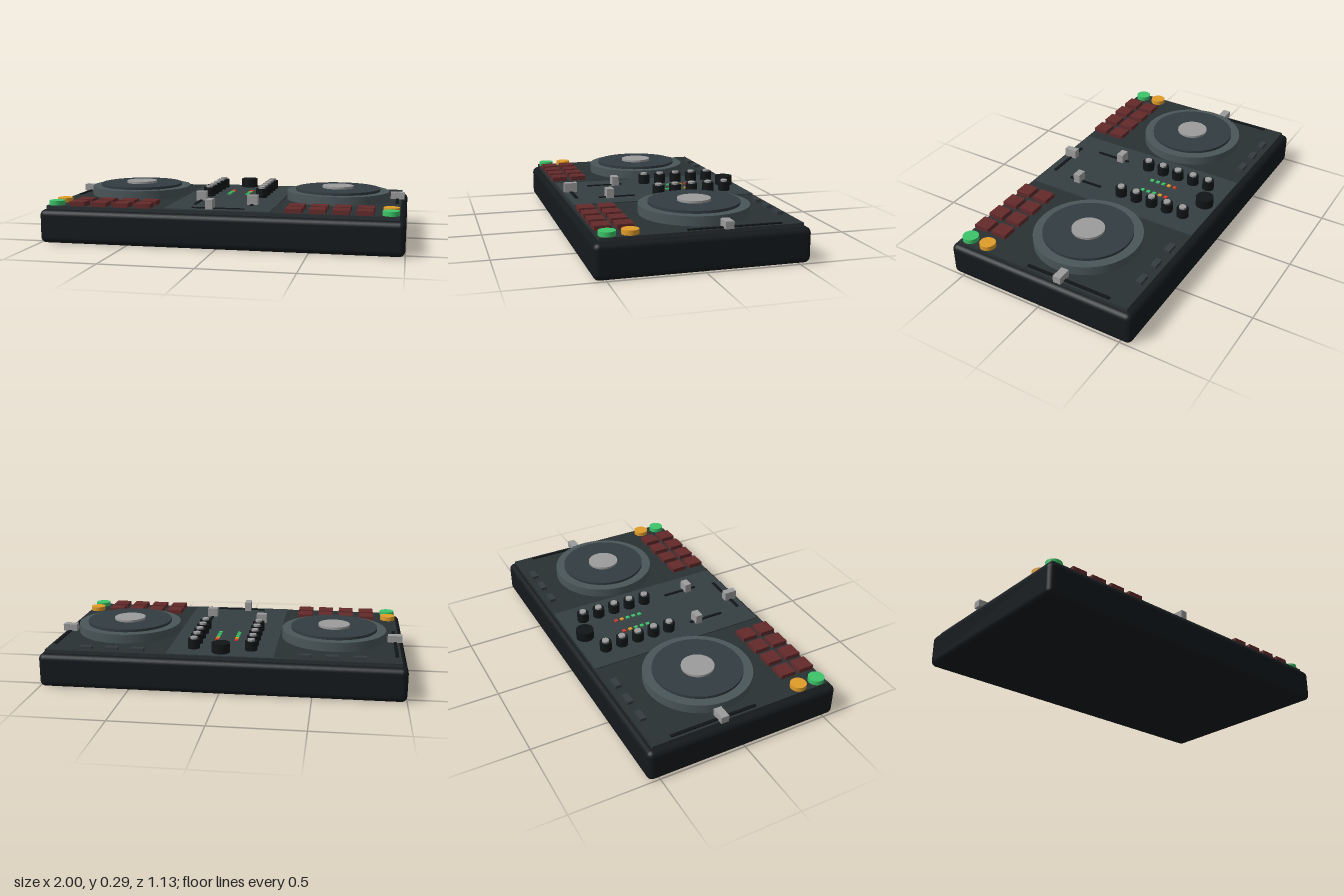
import * as THREE from 'three';
import { RoundedBoxGeometry } from 'three/addons/geometries/RoundedBoxGeometry.js';

const mat = (color) => new THREE.MeshStandardMaterial({ color });
const M = {
  body: mat(0x14191c), plate: mat(0x2a3133), mixer: mat(0x353f43), ring: mat(0x4a5659),
  platter: mat(0x323c40), black: mat(0x111517), grey: mat(0x9c9c9c), pad: mat(0x642a2b),
  green: mat(0x3cc468), orange: mat(0xe09c2a), red: mat(0xd83a28), button: mat(0x343c40),
};

export function createModel() {
  const model = new THREE.Group();
  model.name = 'djController';

  const add = (name, geometry, material, x, y, z) => {
    const mesh = new THREE.Mesh(geometry, material);
    mesh.name = name;
    mesh.position.set(x, y, z);
    model.add(mesh);
  };
  // Boxes and discs are given by their bottom and top heights
  const box = (name, m, w, d, x, z, y0, y1) =>
    add(name, new THREE.BoxGeometry(w, y1 - y0, d), m, x, (y0 + y1) / 2, z);
  const disc = (name, m, r, x, z, y0, y1, segments = 32) =>
    add(name, new THREE.CylinderGeometry(r, r, y1 - y0, segments), m, x, (y0 + y1) / 2, z);

  // Case, top plate and central mixer panel
  add('case', new RoundedBoxGeometry(2, 0.187, 1.126, 4, 0.032), M.body, 0, 0.0935, 0);
  box('topPlate', M.plate, 1.936, 1.056, 0, 0, 0.17, 0.207);
  box('mixerPanel', M.mixer, 0.586, 1.045, 0, -0.005, 0.2, 0.212);

  for (const s of [-1, 1]) {
    // Jog wheel
    disc('jogRing', M.ring, 0.297, s * 0.6, -0.065, 0.2, 0.258, 64);
    disc('jogPlatter', M.platter, 0.245, s * 0.6, -0.065, 0.25, 0.273, 64);
    disc('jogHub', M.grey, 0.09, s * 0.6, -0.065, 0.27, 0.286, 48);

    // Performance pads, two rows of four
    for (const z of [0.365, 0.48])
      for (let i = 0; i < 4; i++)
        box('pad', M.pad, 0.088, 0.088, s * (0.415 + i * 0.125), z, 0.2, 0.232);

    // Cue and play buttons
    disc('cueButton', M.orange, 0.044, s * 0.922, 0.365, 0.2, 0.232);
    disc('playButton', M.green, 0.044, s * 0.922, 0.48, 0.2, 0.232);

    // Rear function buttons
    for (const x of [0.457, 0.602, 0.747])
      box('functionButton', M.button, 0.07, 0.034, s * x, -0.482, 0.2, 0.224);

    // Tempo fader
    box('tempoSlot', M.black, 0.018, 0.498, s * 0.945, -0.166, 0.2, 0.213);
    box('tempoCap', M.grey, 0.08, 0.045, s * 0.945, -0.124, 0.208, 0.247);

    // Equaliser knobs
    for (let i = 0; i < 5; i++) {
      const z = -0.4 + i * 0.1;
      disc('knob', M.black, 0.034, s * 0.158, z, 0.205, 0.264, 24);
      disc('knobCap', M.grey, 0.02, s * 0.158, z, 0.26, 0.275, 24);
    }

    // Level meter lights
    [M.red, M.orange, M.green, M.green, M.green].forEach((m, i) =>
      box('meterLight', m, 0.02, 0.02, s * 0.055, -0.235 + i * 0.0375, 0.205, 0.219));

    // Channel fader
    box('channelSlot', M.black, 0.016, 0.21, s * 0.158, 0.247, 0.205, 0.217);
    box('channelCap', M.grey, 0.06, 0.04, s * 0.158, s < 0 ? 0.185 : 0.29, 0.21, 0.265);
  }

  // Master knob and crossfader
  disc('masterKnob', M.black, 0.05, 0, -0.457, 0.205, 0.265);
  box('crossfaderSlot', M.black, 0.29, 0.018, 0, 0.475, 0.205, 0.217);
  box('crossfaderCap', M.grey, 0.038, 0.074, -0.043, 0.477, 0.21, 0.265);

  return model;
}
